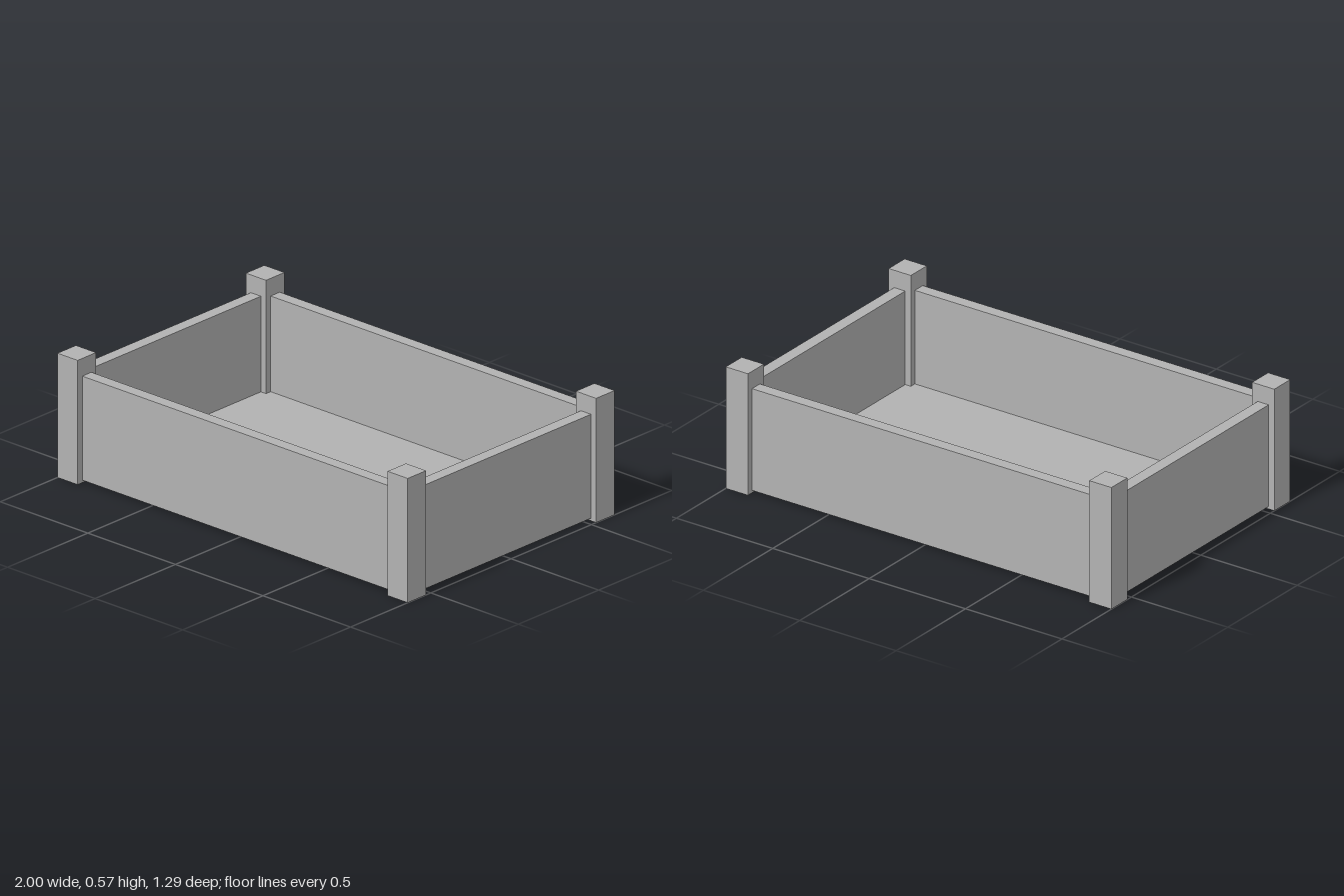
import * as THREE from 'three';

export function createModel() {
  const group = new THREE.Group();
  const grey = new THREE.MeshStandardMaterial({ color: 0xb2b2b2 });
  grey.name = 'plain grey';

  // Box standing on height y0, centred on x and z
  const box = (name, w, y0, y1, d, x, z) => {
    const mesh = new THREE.Mesh(new THREE.BoxGeometry(w, y1 - y0, d), grey);
    mesh.name = name;
    mesh.position.set(x, (y0 + y1) / 2, z);
    group.add(mesh);
  };

  const post = 0.115, postX = 1 - post / 2, postZ = 0.644 - post / 2;
  const board = 0.057, base = 0.012, rim = 0.487;

  // Floor between the boards, underside flush with them
  box('floor', 2 * postX - board, base, 0.05, 2 * postZ - board, 0, 0);

  for (const s of [-1, 1]) {
    // Long boards at front and back, short boards at the sides
    box(s > 0 ? 'frontBoard' : 'backBoard', 2 * postX, base, rim, board, 0, s * postZ);
    box(s > 0 ? 'leftBoard' : 'rightBoard', board, base, rim, 2 * postZ, s * postX, 0);
    // Corner posts
    for (const t of [-1, 1]) {
      box((t > 0 ? 'front' : 'back') + (s > 0 ? 'Left' : 'Right') + 'Post',
        post, 0, 0.568, post, s * postX, t * postZ);
    }
  }
  return group;
}
